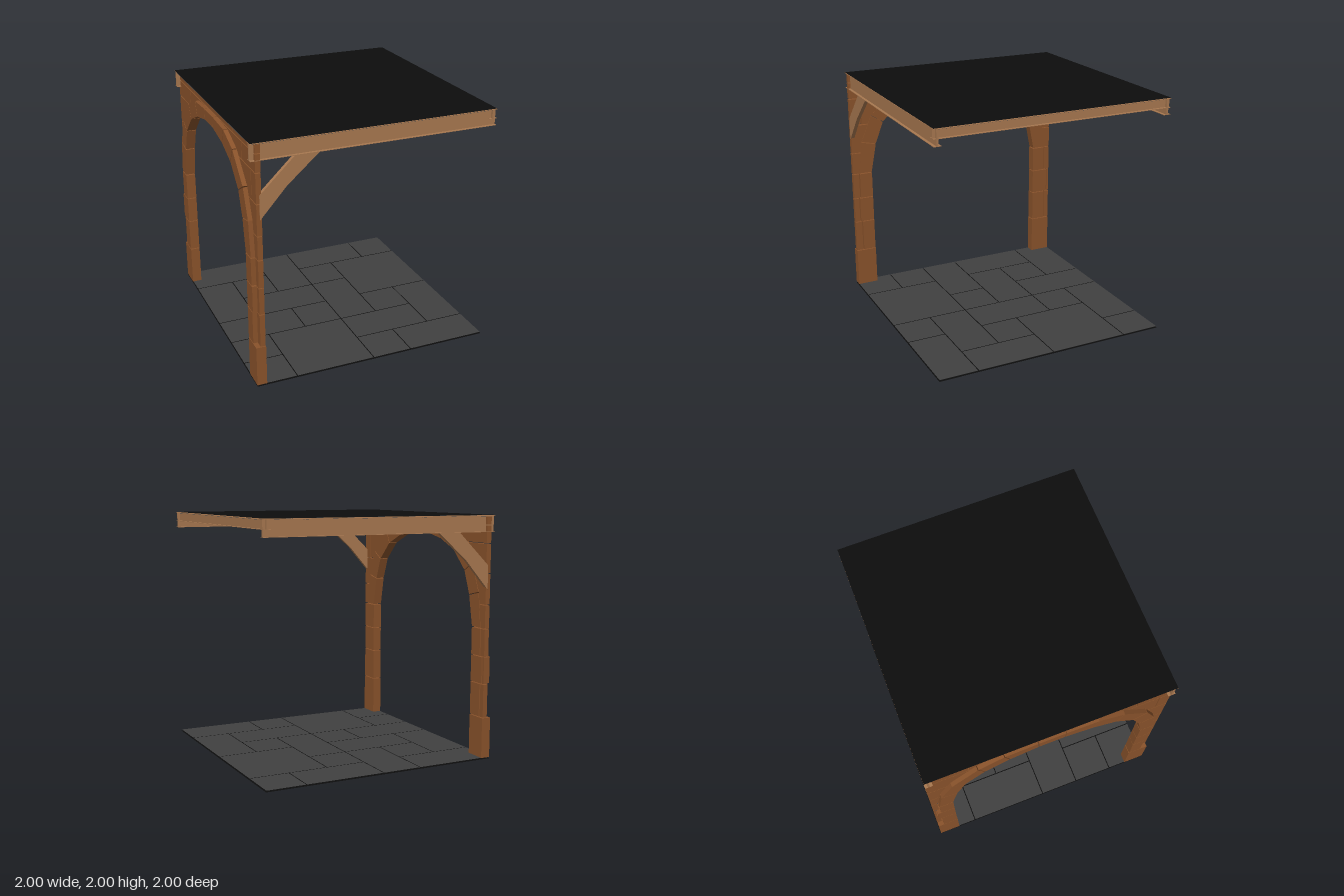
import * as THREE from 'three';

const mat = (name, color, side = THREE.FrontSide) => {
  const m = new THREE.MeshStandardMaterial({ color, side });
  m.name = name;
  return m;
};

export function createModel() {
  const model = new THREE.Group();
  const brick = mat('brick brown', 0x8a532b);
  const timber = mat('beam tan', 0xa87850);
  const stone = mat('tile grey', 0x404040, THREE.DoubleSide);
  const black = mat('backing black', 0x0d0d0d, THREE.DoubleSide);

  const group = (name) => {
    const g = new THREE.Group();
    g.name = name;
    model.add(g);
    return g;
  };
  const add = (parent, name, geo, material) => {
    const m = new THREE.Mesh(geo, material);
    m.name = name;
    parent.add(m);
    return m;
  };
  // beam part from its two corners
  const box = (parent, name, a, b) => {
    const geo = new THREE.BoxGeometry(b[0] - a[0], b[1] - a[1], b[2] - a[2]);
    const m = add(parent, name, geo, timber);
    m.position.set((a[0] + b[0]) / 2, (a[1] + b[1]) / 2, (a[2] + b[2]) / 2);
  };
  const prism = (pts, depth) => {
    const shape = new THREE.Shape(pts.map(([u, v]) => new THREE.Vector2(u, v)));
    return new THREE.ExtrudeGeometry(shape, { depth, bevelEnabled: false });
  };

  // Floor and ceiling: tiles in a 6 x 6 pattern over a black backing sheet
  const tiles = [
    [0, 0, 2, 1], [2, 0, 1, 2], [3, 0, 2, 1], [5, 0, 1, 1],
    [0, 1, 1, 2], [1, 1, 1, 1], [3, 1, 1, 1], [4, 1, 2, 2],
    [1, 2, 2, 1], [3, 2, 1, 2], [0, 3, 2, 1], [2, 3, 1, 1],
    [4, 3, 1, 1], [5, 3, 1, 2], [0, 4, 1, 1], [1, 4, 2, 2],
    [3, 4, 2, 1], [0, 5, 1, 1], [3, 5, 1, 1], [4, 5, 2, 1],
  ];
  const slab = (name, ySheet, yTile, angle) => {
    const g = group(name);
    const sheet = add(g, 'backingSheet', new THREE.PlaneGeometry(2, 2).rotateX(-angle), black);
    sheet.position.y = ySheet;
    for (const [i, j, w, d] of tiles) {
      const geo = new THREE.PlaneGeometry(w / 3 - 0.008, d / 3 - 0.008).rotateX(angle);
      const t = add(g, 'tile', geo, stone);
      t.position.set(-1 + (i + w / 2) / 3, yTile, -1 + (j + d / 2) / 3);
    }
  };
  slab('floor', 0, 0.012, -Math.PI / 2);
  slab('ceiling', 2, 1.99, Math.PI / 2);

  // Arched brick wall on the x = -1 side; the infill is set back from the ring
  const arch = group('archWall');
  const full = [-1, -0.92];
  const recessed = [-0.965, -0.924];
  const EDGE = 0.998;
  // brick drawn in (z, y) and extruded across the wall
  const wallBrick = (name, pts, [x0, x1]) => {
    const m = add(arch, name, prism(pts, x1 - x0).rotateY(-Math.PI / 2), brick);
    m.position.x = x1;
  };
  const rect = (z0, z1, y0, y1) => [[z0, y0], [z1, y0], [z1, y1], [z0, y1]];
  const lerp = (a, b, t) => [a[0] + (b[0] - a[0]) * t, a[1] + (b[1] - a[1]) * t];

  // joints of the ring as (z, y), from springing to crown
  const inner = [[0.825, 1.085], [0.775, 1.345], [0.7, 1.54], [0.535, 1.7], [0.335, 1.785], [0.105, 1.83]];
  const outer = [[0.94, 1.085], [0.905, 1.375], [0.81, 1.605], [0.59, 1.82], [0.38, 1.905], [0.11, 1.918]];
  const ringPoint = (y) => {
    const i = outer.findIndex((p) => p[1] >= y);
    const [a, b] = [outer[i - 1], outer[i]];
    return lerp(a, b, (y - a[1]) / (b[1] - a[1]));
  };
  // courses as bottom, top, joint on the +z side, joint on the -z side
  const legCourses = [[0.352, 0.624, 0.935, 0.952], [0.631, 0.85, 0.95, 0.975], [0.857, 1.08, 0.94, 0.945]];
  const cornerCourses = [[1.088, 1.275], [1.282, 1.53], [1.538, 1.77, 0.9], [1.778, 1.916, 0.708, 0.65]];

  for (const s of [1, -1]) {
    const mirror = (pts) => pts.map(([z, y]) => [z * s, y]);
    wallBrick('baseBlock', mirror(rect(0.82, 0.997, 0.01, 0.345)), full);

    for (const [y0, y1, jointA, jointB] of legCourses) {
      const j = s > 0 ? jointA : jointB;
      wallBrick('legBrick', mirror(rect(0.823, j - 0.004, y0, y1)), full);
      wallBrick('edgeBrick', mirror(rect(j + 0.004, EDGE, y0, y1)), recessed);
    }
    // wedge stones of the ring
    for (let i = 0; i < inner.length - 1; i++) {
      const at = (line, t) => lerp(line[i], line[i + 1], t);
      wallBrick('archStone', mirror([at(inner, 0.015), at(outer, 0.015), at(outer, 0.985), at(inner, 0.985)]), full);
    }
    // corner bricks follow the outside of the ring
    for (const [y0, y1, jointA, jointB] of cornerCourses) {
      const j = s > 0 ? jointA : jointB;
      const end = j ? j - 0.004 : EDGE;
      const curve = [ringPoint(y0), ...outer.filter((p) => p[1] > y0 && p[1] < y1), ringPoint(y1)];
      wallBrick('cornerBrick', mirror([...curve, [end, y1], [end, y0]]), recessed);
      if (j) wallBrick('cornerBrick', mirror(rect(j + 0.004, EDGE, y0, y1)), recessed);
    }
    // top course under the ceiling
    for (const [z0, z1] of [[0.004, 0.496], [0.504, EDGE]]) {
      wallBrick('topBrick', mirror(rect(z0, z1, 1.924, 1.988)), recessed);
    }
  }
  wallBrick('keystone', [[-0.102, 1.83], [0.102, 1.83], [0.107, 1.918], [-0.107, 1.918]], full);

  // Flanged beams on front and back, each with a bent corner brace
  const braceShape = [[-0.94, 1.405], [-0.73, 1.642], [-0.475, 1.865], [-0.665, 1.865], [-0.94, 1.6]];
  for (const s of [1, -1]) {
    const g = group(s > 0 ? 'frontBeam' : 'backBeam');
    const across = (name, y0, y1, z0, z1) =>
      box(g, name, [-1, y0, Math.min(z0 * s, z1 * s)], [1, y1, Math.max(z0 * s, z1 * s)]);
    across('beamWeb', 1.869, 1.993, 0.962, 0.978);
    across('beamLowerFlange', 1.865, 1.869, 0.94, 1);
    across('beamUpperFlange', 1.993, 1.997, 0.94, 1);
    const brace = add(g, 'cornerBrace', prism(braceShape, 0.032), timber);
    brace.position.z = s > 0 ? 0.968 : -1;
  }

  // Shallower beam on the open side
  const side = group('sideBeam');
  box(side, 'beamWeb', [0.962, 1.924, -1], [0.978, 1.992, 1]);
  box(side, 'beamLowerFlange', [0.94, 1.92, -1], [1, 1.924, 1]);
  box(side, 'beamUpperFlange', [0.94, 1.992, -1], [1, 1.996, 1]);

  return model;
}
